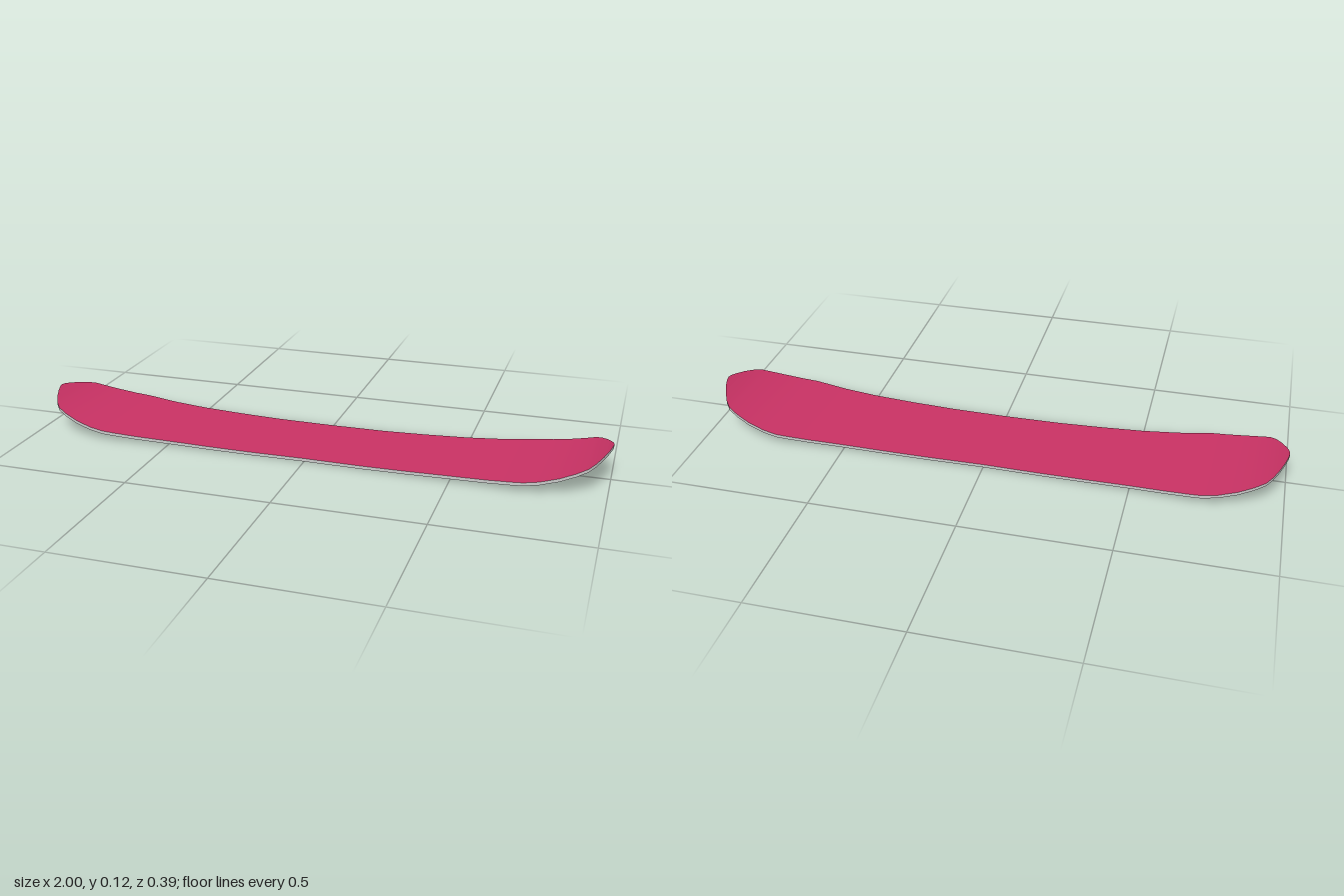
import * as THREE from 'three';

// Stations from the middle to the tip: [x, half width, underside height]
const half = [
  [0, 0.161, 0], [0.2, 0.164, 0], [0.35, 0.168, 0.003], [0.5, 0.173, 0.008],
  [0.62, 0.182, 0.014], [0.7, 0.19, 0.021], [0.74, 0.193, 0.025], [0.79, 0.187, 0.032],
  [0.85, 0.174, 0.046], [0.9, 0.157, 0.062], [0.935, 0.141, 0.076], [0.955, 0.117, 0.086],
  [0.975, 0.08, 0.097], [0.99, 0.043, 0.106], [0.997, 0.02, 0.111], [1, 0.004, 0.113],
];
const thickness = 0.011;
// The tail rises slightly less than the nose
const tail = half.slice(1).reverse().map(([x, w, y]) => [-x, w, y * 0.93]);
const stations = [...tail, ...half];

// Joins two rows of points with a strip of quads
function strip(name, rowA, rowB, color) {
  const positions = [], index = [];
  rowA.forEach((p, i) => {
    positions.push(...p, ...rowB[i]);
    if (i > 0) {
      const k = 2 * i;
      index.push(k - 2, k - 1, k, k - 1, k + 1, k);
    }
  });
  const geometry = new THREE.BufferGeometry();
  geometry.setAttribute('position', new THREE.Float32BufferAttribute(positions, 3));
  geometry.setIndex(index);
  geometry.computeVertexNormals();
  const mesh = new THREE.Mesh(geometry, new THREE.MeshStandardMaterial({ color, side: THREE.DoubleSide }));
  mesh.name = name;
  return mesh;
}

// One long edge of the board: side is +1 or -1, lift is height above the underside
const edge = (side, lift) => stations.map(([x, w, y]) => [x, y + lift, side * w]);

// Closed outline: along the front edge, then back along the rear edge
function outline(lift) {
  const loop = [...edge(1, lift), ...edge(-1, lift).reverse()];
  return [...loop, loop[0]];
}

export function createModel() {
  const board = new THREE.Group();
  board.name = 'snowboard';
  board.add(
    strip('topSheet', edge(-1, thickness), edge(1, thickness), 0xcc3366),
    strip('base', edge(1, 0), edge(-1, 0), 0x202020),
    strip('sidewall', outline(thickness), outline(0), 0xcccccc),
  );
  return board;
}
